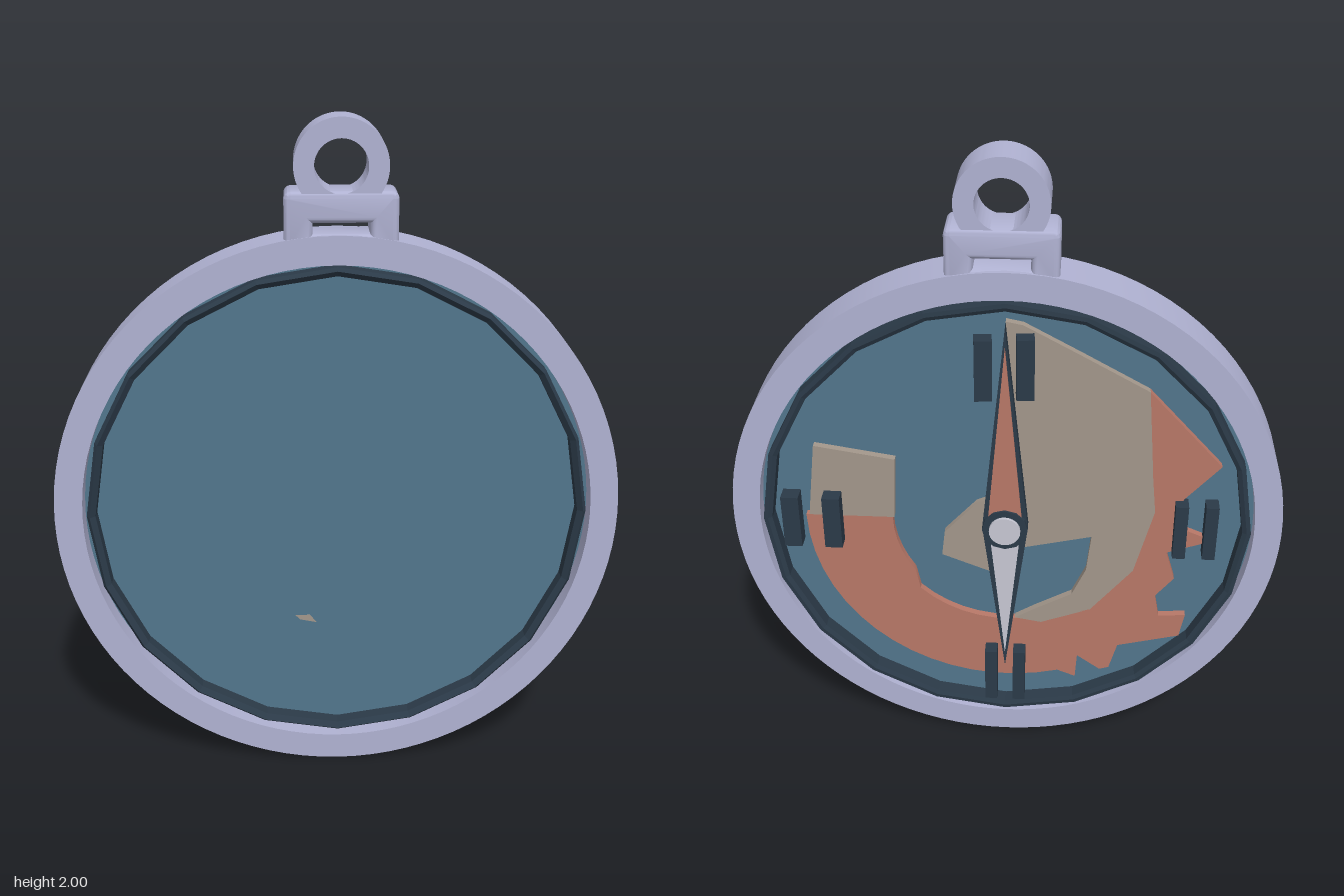
import * as THREE from 'three';
import { toCreasedNormals } from 'three/addons/utils/BufferGeometryUtils.js';

const CY = 0.84; // height of the dial centre
const mat = (color, flatShading = false) => new THREE.MeshStandardMaterial({ color, flatShading });

export function createModel() {
  const root = new THREE.Group();
  const metal = mat(0xb0b2d2), blue = mat(0x52768c), dark = mat(0x2b3a48, true);
  const red = mat(0xb87868), beige = mat(0xa3978b), pale = mat(0xc8c8d4);

  const add = (name, geometry, material, parent = root) => {
    const mesh = new THREE.Mesh(geometry, material);
    mesh.name = name;
    parent.add(mesh);
    return mesh;
  };
  // Extrudes a shape from z0 to z1, smooth on curves and sharp on corners
  const extrude = (shape, z0, z1, bevel = 0) => {
    const g = new THREE.ExtrudeGeometry(shape, {
      depth: z1 - z0 - 2 * bevel, curveSegments: 48, bevelEnabled: bevel > 0,
      bevelSize: bevel, bevelThickness: bevel, bevelOffset: -bevel, bevelSegments: 4,
    });
    g.translate(0, 0, z0 + bevel);
    return toCreasedNormals(g, 0.6);
  };
  const annulus = (x, y, outer, inner) => {
    const s = new THREE.Shape().absarc(x, y, outer, 0, Math.PI * 2);
    s.holes.push(new THREE.Path().absarc(x, y, inner, 0, Math.PI * 2));
    return s;
  };
  // Plate on the back, drawn as seen from behind (u to the right, v up from the centre)
  const plate = (name, pts, z0, z1, material, parent) =>
    add(name, extrude(new THREE.Shape(pts.map(([u, v]) => new THREE.Vector2(-u, CY + v))), z0, z1), material, parent);
  const arc = (r, a0, a1, n = 16) => Array.from({ length: n + 1 }, (_, i) => {
    const a = THREE.MathUtils.degToRad(a0 + (a1 - a0) * i / n);
    return [r * Math.cos(a), r * Math.sin(a)];
  });

  // Case ring
  add('caseRing', extrude(annulus(0, CY, 0.84, 0.757), -0.035, 0.115), metal);

  // Dial disc
  const disc = add('dialDisc', new THREE.CylinderGeometry(0.758, 0.758, 0.04, 64), blue);
  disc.rotation.x = Math.PI / 2;
  disc.position.set(0, CY, 0.035);

  // Twenty-sided inner rim, standing out on both faces of the disc
  const section = [[0.748, -0.035], [0.748, 0.095], [0.738, 0.108], [0.722, 0.095], [0.722, -0.03], [0.735, -0.037], [0.748, -0.035]];
  const rim = add('innerRim', new THREE.LatheGeometry(section.map(p => new THREE.Vector2(...p)), 20), dark);
  rim.rotation.x = Math.PI / 2;
  rim.position.y = CY;

  // Hanger: rounded block with a slot, and the loop above it
  const block = new THREE.Shape();
  const [l, r, b, t, c] = [-0.15, 0.17, 1.64, 1.8, 0.025];
  block.moveTo(l, b).lineTo(r, b).lineTo(r, t - c).quadraticCurveTo(r, t, r - c, t)
    .lineTo(l + c, t).quadraticCurveTo(l, t, l, t - c).lineTo(l, b);
  block.holes.push(new THREE.Path([[-0.07, 1.682], [-0.07, 1.712], [0.09, 1.712], [0.09, 1.682]].map(p => new THREE.Vector2(...p))));
  add('hangerBlock', extrude(block, -0.03, 0.112, 0.018), metal);
  add('hangerLoop', extrude(annulus(0.01, 1.868, 0.132, 0.075), -0.022, 0.107), metal);

  // Inlaid land shapes on the back of the dial
  const land = new THREE.Group();
  land.name = 'landShapes';
  root.add(land);
  const zLow = 0.02, zTop = -0.008;
  plate('sideLand', [[-0.58, 0.25], [-0.335, 0.21], [-0.345, 0], [-0.61, 0]], zTop, zLow, beige, land);
  plate('lowerLand', [
    ...arc(0.62, 180, 286), [0.23, -0.62], [0.235, -0.53], [0.31, -0.585], [0.34, -0.575], [0.365, -0.48],
    [0.56, -0.43], [0.575, -0.345], [0.49, -0.35], [0.475, -0.27], [0.53, -0.2], [0.5, -0.1], [0.64, -0.05],
    [0.52, 0], [0.54, 0.1], [0.645, 0.22], [0.418, 0.467], [0.443, 0.17], [0.456, 0.05], [0.4, -0.175],
    [0.27, -0.336], ...arc(0.385, 288, 225, 8), ...arc(0.35, 215, 180, 5),
  ], zTop, zLow, red, land);
  plate('mainLand', [
    [0.0, 0.68], [0.05, 0.67], [0.215, 0.58], [0.418, 0.467], [0.443, 0.17], [0.456, 0.05], [0.4, -0.175],
    [0.27, -0.336], [0.114, -0.395], [0.03, -0.38], [0.095, -0.34], [0.21, -0.276], [0.253, -0.178],
    [0.266, -0.05], [0.05, -0.1], [0.04, -0.2], [-0.04, -0.2], [-0.2, -0.136], [-0.19, -0.05], [-0.09, 0.06], [0, 0.1],
  ], zTop, zLow, beige, land);
  // Sliver of land showing on the front face
  plate('frontSliver', [[0.13, -0.36], [0.085, -0.36], [0.065, -0.385], [0.115, -0.375]], 0.03, 0.057, beige, land);

  // Needle: dark body with two coloured inlays, a hub and a pin
  const needle = new THREE.Group();
  needle.name = 'needle';
  root.add(needle);
  plate('needleBody', [[0, 0.68], [0.07, 0], [0, -0.55], [-0.07, 0]], -0.046, -0.01, dark, needle);
  plate('upperInlay', [[0, 0.62], [0.052, 0.03], [-0.052, 0.03]], -0.053, -0.04, red, needle);
  plate('lowerInlay', [[0, -0.49], [0.045, -0.04], [-0.045, -0.04]], -0.053, -0.04, pale, needle);
  const turned = (name, radius, z0, z1, sides, material) => {
    const m = add(name, new THREE.CylinderGeometry(radius, radius, z1 - z0, sides), material, needle);
    m.rotation.x = Math.PI / 2;
    m.position.set(0, CY, (z0 + z1) / 2);
  };
  turned('needleHub', 0.07, -0.06, 0.02, 12, dark);
  turned('needlePin', 0.048, -0.07, 0.02, 32, pale);

  // Plain paired bars marking the four main directions
  const marker = (name, x, y, z, w, h, d, tilt = 0) => {
    const g = new THREE.Group();
    g.name = name;
    for (const s of [-1, 1]) {
      add('markerBar', new THREE.BoxGeometry(w * 0.3, h, d), dark, g).position.x = s * w * 0.35;
    }
    g.position.set(x, y, z);
    g.rotation.y = tilt;
    root.add(g);
  };
  marker('topMarker', 0, 1.415, -0.085, 0.17, 0.19, 0.045, 0.09);
  marker('bottomMarker', 0, 0.25, -0.03, 0.13, 0.2, 0.05);
  marker('leftMarker', 0.595, 0.84, -0.03, 0.18, 0.18, 0.05);
  marker('rightMarker', -0.58, 0.84, -0.02, 0.13, 0.19, 0.05);

  return root;
}
